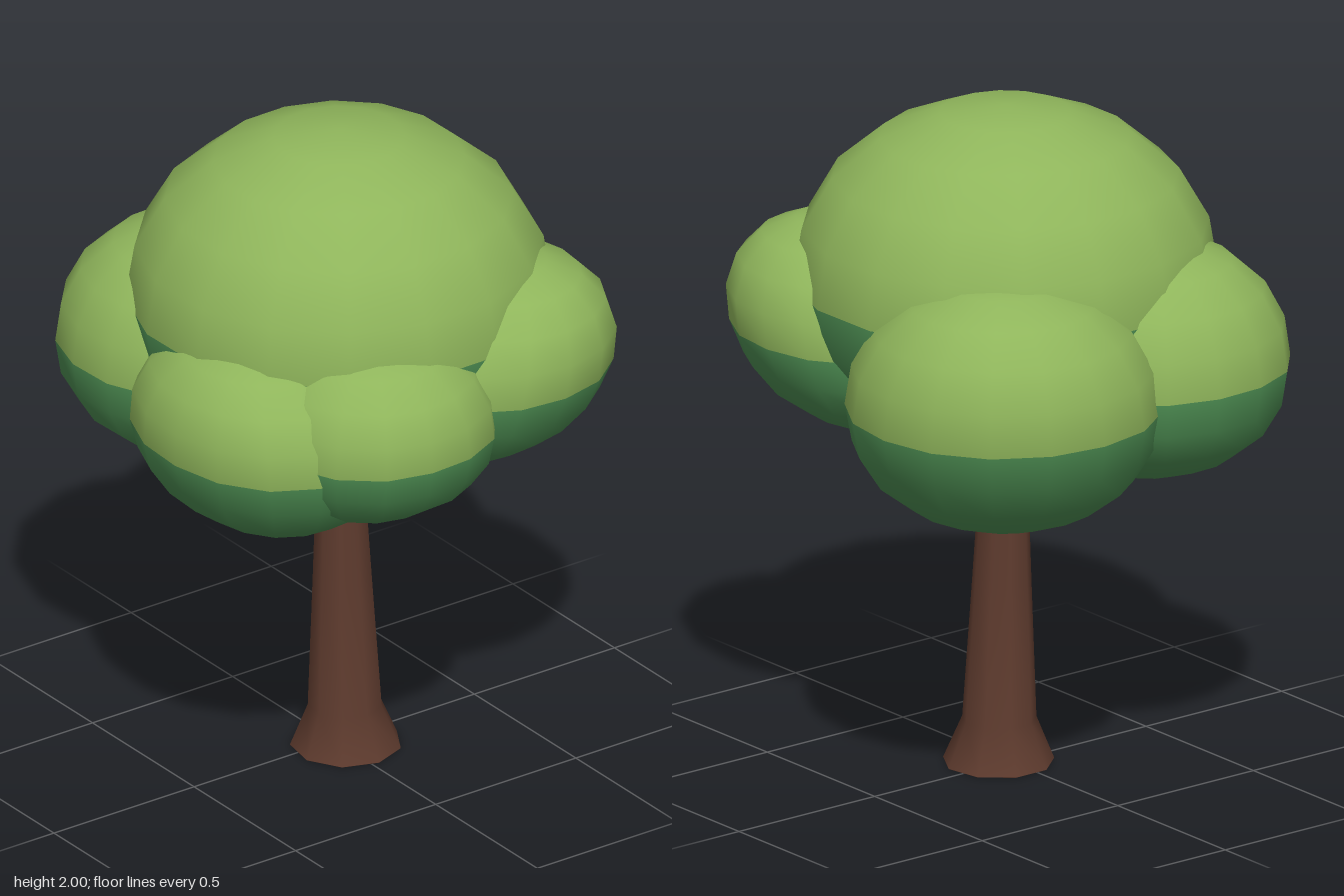
import * as THREE from 'three';
import { mergeVertices } from 'three/addons/utils/BufferGeometryUtils.js';

const paint = (name, color) => {
  const m = new THREE.MeshStandardMaterial({ color });
  m.name = name;
  return m;
};

// Rounded mass: sunny upper half, shaded lower half, split at its equator.
// Sizes are half width, height above the split, depth below it, half length;
// a fullness over 2 swells it beyond an ellipsoid, and lean tips its top
// away from the trunk.
function foliage(name, [x, y, z], [rx, up, down, rz], fullness, lean, turn, mats) {
  let g = new THREE.SphereGeometry(1, 16, 10, turn);
  g.deleteAttribute('uv');
  g.deleteAttribute('normal');
  g = mergeVertices(g, 1e-4);
  const p = g.attributes.position, v = new THREE.Vector3();
  const out = new THREE.Vector2(x, z).normalize().multiplyScalar(lean);
  for (let i = 0; i < p.count; i++) {
    v.fromBufferAttribute(p, i);
    const norm = v.toArray().reduce((sum, c) => sum + Math.abs(c) ** fullness, 0) ** (1 / fullness);
    v.multiplyScalar(1.007 / norm);
    p.setXYZ(i, v.x * rx + v.y * out.x, v.y * (v.y > 0 ? up : down), v.z * rz + v.y * out.y);
  }
  g.computeVertexNormals();
  const half = g.index.count / 2;
  g.addGroup(0, half, 0);
  g.addGroup(half, half, 1);
  const mesh = new THREE.Mesh(g, mats);
  mesh.name = name;
  mesh.position.set(x, y, z);
  return mesh;
}

export function createModel() {
  const tree = new THREE.Group();
  tree.name = 'tree';
  const bark = paint('bark brown', 0x5e3b2e);
  const leaves = [paint('light leaf green', 0x8fb55b), paint('dark leaf green', 0x4b8a50)];

  // Tapered trunk with a flared foot, leaning slightly
  const profile = [[0, 0], [0.163, 0], [0.163, 0.001], [0.109, 0.13], [0.087, 0.55], [0.066, 0.98], [0.06, 1.2]]
    .map(([r, h]) => new THREE.Vector2(r, h));
  const trunkGeo = new THREE.LatheGeometry(profile, 9);
  const p = trunkGeo.attributes.position;
  for (let i = 0; i < p.count; i++) {
    p.setX(i, p.getX(i) + 0.022 - 0.022 * p.getY(i));
    p.setZ(i, p.getZ(i) + 0.028);
  }
  const trunk = new THREE.Mesh(trunkGeo, bark);
  trunk.name = 'trunk';
  tree.add(trunk);

  // Crown: one large mass ringed by five smaller, fuller ones
  const clumps = [
    ['crownTop', [-0.005, 1.47, 0.03], [0.61, 0.526, 0.48, 0.605], 2.08, 0],
    ['backLeftClump', [0.275, 1.225, -0.315], [0.45, 0.405, 0.37, 0.45], 2.1, 0.06],
    ['backRightClump', [-0.255, 1.26, -0.325], [0.4, 0.37, 0.33, 0.4], 2.15, 0],
    ['frontLeftClump', [0.28, 1.315, 0.335], [0.37, 0.325, 0.305, 0.38], 2.15, 0.08],
    ['frontRightClump', [-0.17, 1.25, 0.4], [0.355, 0.3, 0.265, 0.37], 2.25, 0.03],
    ['rightClump', [-0.375, 1.205, 0.18], [0.355, 0.325, 0.3, 0.42], 2.2, 0.05],
  ];
  clumps.forEach(([name, pos, size, fullness, lean], i) =>
    tree.add(foliage(name, pos, size, fullness, lean, i + 1, leaves)));
  return tree;
}
